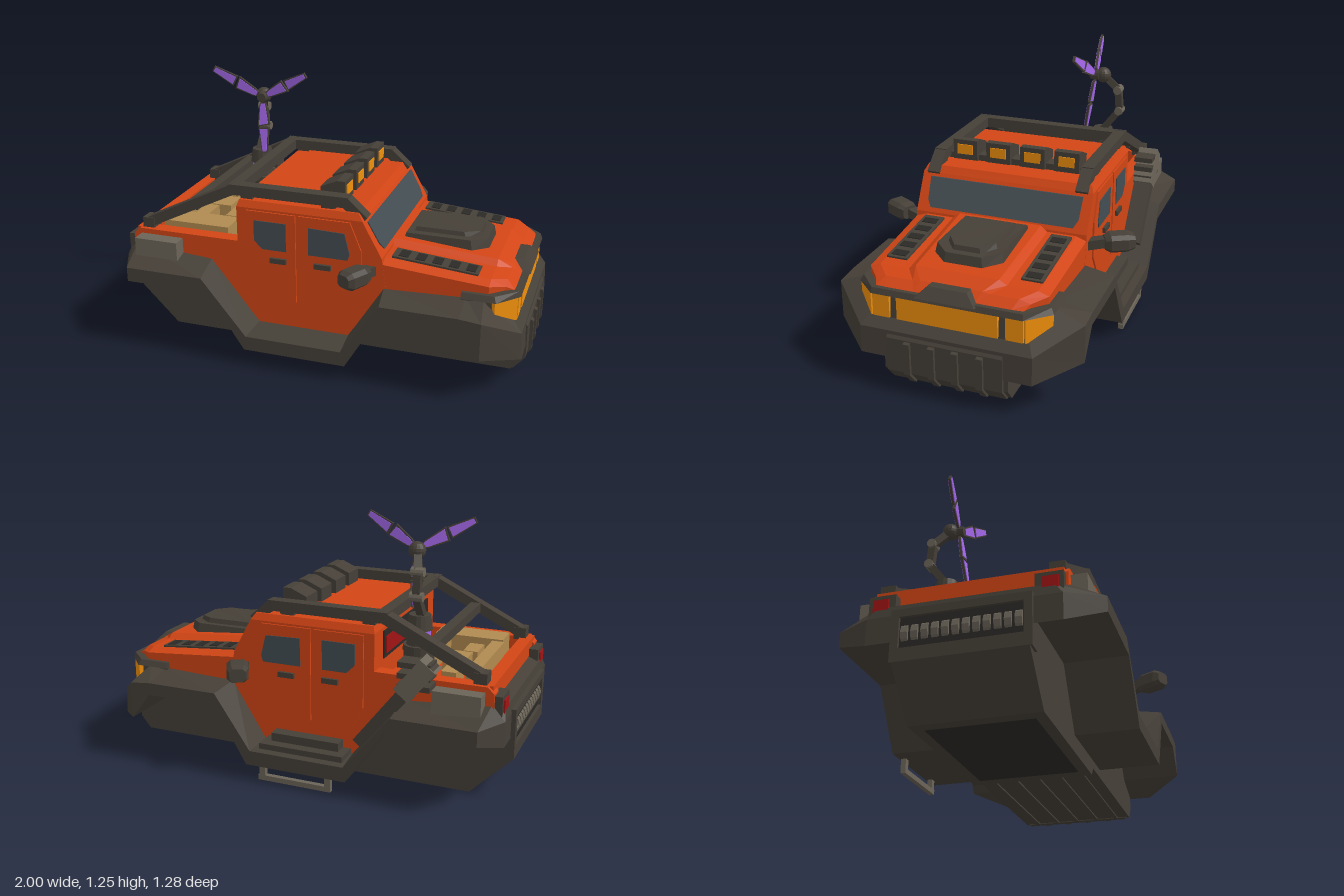
import * as THREE from 'three';

const mat = (color) => new THREE.MeshStandardMaterial({ color, flatShading: true, side: THREE.DoubleSide });
const DARK = mat(0x453f37), BLACK = mat(0x2b2926), ORANGE = mat(0xd24515), LAMP = mat(0xf0900c), GLASS = mat(0x434d52),
  CRATE = mat(0xb08a50), GREY = mat(0x6b6458), PURPLE = mat(0xa468ea), RED = mat(0xa01414);
const V = (x, y, z) => new THREE.Vector3(x, y, z);

export function createModel() {
  const root = new THREE.Group();
  let group = root;
  const part = (name) => { group = new THREE.Group(); group.name = name; root.add(group); };
  const add = (name, geo, m) => {
    const mesh = new THREE.Mesh(geo, m);
    mesh.name = name;
    group.add(mesh);
    return mesh;
  };
  const bothSides = (fn) => [1, -1].forEach(fn);
  // box given by its limits on x, y, z
  const box = (name, m, x0, x1, y0, y1, z0, z1) => {
    const b = add(name, new THREE.BoxGeometry(x1 - x0, y1 - y0, Math.abs(z1 - z0)), m);
    b.position.set((x0 + x1) / 2, (y0 + y1) / 2, (z0 + z1) / 2);
    return b;
  };
  // square bar between two points
  const beam = (name, m, a, b, w, h = w) => {
    const bar = add(name, new THREE.BoxGeometry(w, h, a.distanceTo(b)), m);
    bar.position.copy(a).lerp(b, 0.5);
    bar.lookAt(b);
    return bar;
  };
  // side outline in x, y, extruded from z0 to z1
  const plate = (name, m, pts, z0, z1) => {
    const geo = new THREE.ExtrudeGeometry(new THREE.Shape(pts.map((p) => new THREE.Vector2(...p))),
      { depth: Math.abs(z1 - z0), bevelEnabled: false });
    geo.translate(0, 0, Math.min(z0, z1));
    return add(name, geo, m);
  };
  // closed skin over rings of [x, y, z] points
  const loft = (name, m, rings) => {
    const n = rings[0].length, idx = [], last = (rings.length - 1) * n;
    for (let s = 0; s < rings.length - 1; s++) for (let j = 0; j < n; j++) {
      const a = s * n + j, b = s * n + (j + 1) % n;
      idx.push(a, b, b + n, a, b + n, a + n);
    }
    for (let j = 0; j < n - 2; j++) {
      idx.push(n - 1, j + 1, j);
      idx.push(last + n - 1, last + j, last + j + 1);
    }
    const geo = new THREE.BufferGeometry();
    geo.setAttribute('position', new THREE.Float32BufferAttribute(rings.flat(2), 3));
    geo.setIndex(idx);
    const flat = geo.toNonIndexed();
    flat.computeVertexNormals();
    return add(name, flat, m);
  };
  const rect = (x0, x1, y, z) => [[x0, y, z], [x1, y, z], [x1, y, -z], [x0, y, -z]];

  // lower hull: flares, wheel arches and sills
  part('lowerBody');
  // inner top x, y | outer top x, y | bottom x, y | outer z | inner z
  const stations = [
    [-0.97, 0.47, -0.98, 0.42, -0.98, 0.3, 0.42, 0.38], [-0.92, 0.49, -0.9, 0.42, -0.9, 0.35, 0.58, 0.42],
    [-0.52, 0.46, -0.51, 0.42, -0.48, 0.35, 0.58, 0.42], [-0.28, 0.16, -0.29, 0.15, -0.3, 0.08, 0.58, 0.42],
    [0.17, 0.16, 0.18, 0.15, 0.2, 0.08, 0.58, 0.42], [0.34, 0.43, 0.36, 0.41, 0.36, 0.35, 0.58, 0.42],
    [0.72, 0.44, 0.72, 0.41, 0.72, 0.35, 0.58, 0.42], [0.8, 0.45, 0.82, 0.4, 0.82, 0.22, 0.58, 0.42],
    [0.93, 0.34, 0.975, 0.29, 0.98, 0.16, 0.4, 0.37]];
  loft('hull', DARK, stations.map(([ix, iy, tx, ty, bx, by, zo, zi]) => [
    [ix, iy, -zi], [ix, iy, zi], [tx, ty, zo], [bx, by, zo], [bx, by, -zo], [tx, ty, -zo]]));
  plate('chassis', DARK, [[-1, 0.2], [-0.8, 0], [0.02, 0], [0.05, 0.04], [0.92, 0.04], [0.97, 0.1], [0.97, 0.27],
    [0.92, 0.36], [0.33, 0.38], [0.2, 0.14], [-0.3, 0.14], [-0.45, 0.36], [-0.94, 0.42], [-0.94, 0.25], [-1, 0.25]], -0.29, 0.29);
  box('bellyPanel', BLACK, -0.74, -0.04, -0.001, 0.01, -0.24, 0.24);
  // front guard with ribs
  plate('frontGuard', DARK, [[0.9, 0.035], [0.93, 0.035], [0.985, 0.1], [0.985, 0.26], [0.95, 0.31], [0.9, 0.31]], -0.27, 0.27);
  [-0.17, -0.055, 0.055, 0.17].forEach((z) =>
    plate('guardRib', DARK, [[0.92, 0.035], [0.945, 0.035], [1, 0.1], [1, 0.25], [0.97, 0.26]], z - 0.015, z + 0.015));
  for (let i = -2; i <= 2; i++) box('bellyRib', DARK, 0.08, 0.9, 0.032, 0.04, i * 0.11 - 0.01, i * 0.11 + 0.01);

  // cab and doors
  part('cab');
  plate('cabShell', ORANGE, [[-0.5, 0.42], [-0.28, 0.16], [0.17, 0.16], [0.35, 0.43], [0.33, 0.575], [0.237, 0.745],
    [-0.38, 0.745], [-0.38, 0.5], [-0.5, 0.5]], -0.43, 0.43);
  loft('roof', ORANGE, [rect(-0.38, 0.237, 0.745, 0.43), rect(-0.37, 0.215, 0.777, 0.415)]);
  bothSides((s) => {
    const z = 0.43 * s;
    plate('rearDoor', ORANGE, [[-0.28, 0.29], [-0.085, 0.29], [-0.085, 0.735], [-0.33, 0.735], [-0.33, 0.39]], z, z + 0.008 * s);
    plate('frontDoor', ORANGE, [[-0.07, 0.29], [0.15, 0.29], [0.235, 0.42], [0.235, 0.6], [0.18, 0.735], [-0.07, 0.735]], z, z + 0.008 * s);
    plate('rearDoorWindow', GLASS, [[-0.25, 0.55], [-0.13, 0.55], [-0.13, 0.69], [-0.29, 0.69], [-0.29, 0.59]], z, z + 0.012 * s);
    plate('frontDoorWindow', GLASS, [[-0.02, 0.55], [0.17, 0.55], [0.18, 0.58], [0.155, 0.68], [-0.02, 0.685]], z, z + 0.012 * s);
    [-0.17, 0.05].forEach((x) => box('doorHandle', DARK, x - 0.04, x + 0.04, 0.488, 0.513, z, z + 0.022 * s));
    // wing mirror, swept back towards its tip
    beam('mirrorArm', DARK, V(0.28, 0.51, 0.42 * s), V(0.25, 0.535, 0.54 * s), 0.05, 0.045);
    const face = [[-0.05, -0.025], [-0.03, -0.042], [0.03, -0.042], [0.05, -0.025], [0.05, 0.025], [0.03, 0.042], [-0.03, 0.042], [-0.05, 0.025]];
    const mirror = loft('mirror', DARK, [[-0.07, 0.75], [-0.035, 1], [0.045, 1], [0.07, 0.7]]
      .map(([z, k]) => face.map(([x, y]) => [x * k, y * k, z])));
    mirror.position.set(0.242, 0.53, 0.56 * s);
    mirror.rotation.y = -0.5 * s;
  });
  const screenX = (y, out) => 0.33 - (y - 0.575) * 0.547 + out;
  const screenRing = (out) => [[0.597, 0.36], [0.63, 0.38], [0.728, 0.385], [0.728, -0.385], [0.63, -0.38], [0.597, -0.36]]
    .map(([y, z]) => [screenX(y, out), y, z]).reverse();
  loft('windshield', GLASS, [screenRing(-0.01), screenRing(0.006)]);
  box('rearWindow', BLACK, -0.387, -0.38, 0.6, 0.73, -0.32, 0.32);
  box('rearBrakeLight', RED, -0.392, -0.38, 0.62, 0.7, -0.3, -0.02);

  // hood with a raised centre
  part('hood');
  const hoodY = (x) => 0.565 - (x - 0.32) * 0.09;
  // x, half width, edge y, side y, centre y, centre half width
  loft('hoodShell', ORANGE, [[0.3, 0.43, 0.55, 0.567, 0.59, 0.24], [0.82, 0.42, 0.505, 0.522, 0.545, 0.23],
    [0.885, 0.36, 0.49, 0.505, 0.51, 0.18], [0.925, 0.34, 0.47, 0.472, 0.473, 0.16]].map(([x, w, e, y, c, k]) => [
    [x, e, -w], [x, y, -w + 0.05], [x, y, -k], [x, c, -k + 0.035], [x, c, k - 0.035], [x, y, k], [x, y, w - 0.05], [x, e, w],
    [x, 0.42, w], [x, 0.42, -w]]));
  const scoop = (x0, x1, w, y0, y1) => [[x0, y0, w], [x1 - 0.07, y0, w], [x1, y1, w * 0.55], [x1, y1, -w * 0.55], [x1 - 0.07, y0, -w], [x0, y0, -w]];
  loft('scoop', DARK, [scoop(0.36, 0.76, 0.165, 0.55, 0.545), scoop(0.37, 0.75, 0.155, 0.602, 0.595)]);
  loft('scoopCap', DARK, [scoop(0.4, 0.72, 0.12, 0.59, 0.58), scoop(0.41, 0.71, 0.11, 0.622, 0.618)]);
  bothSides((s) => {
    beam('hoodVent', DARK, V(0.36, hoodY(0.36), 0.32 * s), V(0.76, hoodY(0.76), 0.32 * s), 0.1, 0.02);
    for (let i = 0; i < 5; i++) {
      const x = 0.41 + i * 0.078;
      beam('ventSlot', BLACK, V(x - 0.022, hoodY(x) + 0.008, 0.32 * s), V(x + 0.022, hoodY(x) + 0.004, 0.32 * s), 0.07, 0.014);
    }
  });
  loft('noseTrim', DARK, [rect(0.86, 0.965, 0.465, 0.14), rect(0.865, 0.925, 0.512, 0.09)]);
  // headlamp band wrapping round the corners
  const band = (x, c, z, y) => [[0.7, y, z], [c, y, z], [x, y, 0.35], [x, y, -0.35], [c, y, -z], [0.7, y, -z]];
  loft('lampFrame', DARK, [band(0.94, 0.845, 0.45, 0.3), band(0.925, 0.835, 0.44, 0.45)]);
  loft('lampTrim', DARK, [band(0.955, 0.86, 0.455, 0.446), band(0.945, 0.85, 0.44, 0.472)]);
  box('centreLamp', LAMP, 0.9, 0.946, 0.335, 0.445, -0.235, 0.235);
  bothSides((s) => {
    box('headlamp', LAMP, 0.9, 0.945, 0.335, 0.445, 0.27 * s, 0.35 * s);
    beam('cornerLamp', LAMP, V(0.936, 0.39, 0.352 * s), V(0.848, 0.39, 0.445 * s), 0.02, 0.11);
  });

  // open cargo bed
  part('cargoBed');
  box('bedFloor', ORANGE, -0.9, -0.38, 0.43, 0.5, -0.4, 0.4);
  box('tailgate', ORANGE, -0.92, -0.86, 0.44, 0.57, -0.41, 0.41);
  bothSides((s) => {
    plate('bedSide', ORANGE, [[-0.93, 0.44], [-0.38, 0.42], [-0.38, 0.57], [-0.9, 0.57], [-0.93, 0.54]], 0.36 * s, 0.43 * s);
    box('sideLocker', GREY, -0.89, -0.67, 0.44, 0.545, 0.42 * s, 0.5 * s);
    box('tailLampHousing', DARK, -0.965, -0.9, 0.42, 0.53, 0.3 * s, 0.42 * s);
    box('tailLamp', RED, -0.972, -0.96, 0.45, 0.51, 0.33 * s, 0.4 * s);
  });
  // crates: x0, x1, z0, z1, top
  [[-0.82, -0.76, -0.28, 0.19, 0.585], [-0.73, -0.66, -0.33, -0.2, 0.58], [-0.71, -0.6, -0.11, 0.02, 0.57],
    [-0.56, -0.48, -0.12, 0.17, 0.58], [-0.73, -0.66, 0.03, 0.16, 0.57], [-0.81, -0.47, 0.2, 0.34, 0.59]]
    .forEach(([x0, x1, z0, z1, y]) => box('crate', CRATE, x0, x1, 0.5, y, z0, z1));
  // rear bumper framing a row of rollers
  box('rearBumperSill', DARK, -1, -0.93, 0.2, 0.26, -0.3, 0.3);
  box('rearBumperTop', DARK, -1, -0.93, 0.4, 0.435, -0.3, 0.3);
  bothSides((s) => box('rearBumperPost', DARK, -1, -0.93, 0.2, 0.435, 0.265 * s, 0.3 * s));
  box('rearGrille', BLACK, -0.985, -0.95, 0.26, 0.4, -0.27, 0.27);
  for (let i = 0; i < 12; i++) {
    const rib = add('grilleRoll', new THREE.CylinderGeometry(0.055, 0.055, 0.03, 12), GREY);
    rib.rotation.x = Math.PI / 2;
    rib.position.set(-0.945, 0.33, -0.242 + i * 0.044);
  }

  // roof cage and lamps
  part('rollCage');
  bothSides((s) => {
    const z = 0.375 * s;
    beam('cageRail', DARK, V(-0.43, 0.815, z), V(0.16, 0.815, z), 0.06, 0.05);
    beam('cageFront', DARK, V(0.14, 0.82, z), V(0.235, 0.735, z), 0.06, 0.05);
    beam('cageRear', DARK, V(-0.4, 0.82, z), V(-0.87, 0.59, z), 0.06, 0.05);
    box('cageFoot', DARK, -0.89, -0.83, 0.56, 0.62, 0.34 * s, 0.41 * s);
    [-0.34, 0.06].forEach((x) => box('railMount', DARK, x - 0.03, x + 0.03, 0.77, 0.8, 0.36 * s, 0.4 * s));
  });
  box('cageCrossbar', DARK, -0.43, -0.375, 0.79, 0.84, -0.38, 0.38);
  box('bedCrossbar', DARK, -0.655, -0.605, 0.68, 0.725, -0.38, 0.38);
  box('lampBar', DARK, 0.03, 0.1, 0.78, 0.81, -0.4, 0.4);
  [-0.26, -0.088, 0.088, 0.26].forEach((z) => {
    plate('roofLampHousing', DARK, [[0, 0.785], [0.12, 0.785], [0.12, 0.885], [0.08, 0.885], [0, 0.85]], z - 0.062, z + 0.062);
    box('roofLamp', LAMP, 0.11, 0.125, 0.813, 0.862, z - 0.04, z + 0.04);
  });

  // boarding step and slanted rack on the right flank
  part('sideGear');
  [-0.21, 0.12].forEach((x) => box('stepHanger', GREY, x - 0.015, x + 0.015, 0.01, 0.1, -0.57, -0.545));
  box('stepTread', GREY, -0.225, 0.14, 0.01, 0.035, -0.57, -0.545);
  [0.18, 0.22].forEach((y, i) => box('sillStep', DARK, -0.27 + i * 0.04, 0.15 - i * 0.04, 0.15, y, -0.43, -0.54 + i * 0.05));
  beam('rackBody', DARK, V(-0.34, 0.25, -0.48), V(-0.66, 0.66, -0.48), 0.09, 0.06);
  beam('rackSleeve', GREY, V(-0.54, 0.51, -0.48), V(-0.66, 0.66, -0.48), 0.1, 0.09);
  [0.54, 0.59, 0.64].forEach((y) => box('rackFin', DARK, -0.67, -0.52, y, y + 0.025, -0.525, -0.43));

  // turbine on a jointed mast
  part('turbine');
  const drum = (name, m, r0, r1, y0, y1) => {
    add(name, new THREE.CylinderGeometry(r1, r0, y1 - y0, 16), m).position.set(-0.53, (y0 + y1) / 2, -0.25);
  };
  drum('mastFoot', DARK, 0.07, 0.07, 0.5, 0.64);
  drum('mastDisc', DARK, 0.075, 0.075, 0.64, 0.67);
  drum('mastCollar', DARK, 0.06, 0.055, 0.67, 0.71);
  drum('mastBand', PURPLE, 0.052, 0.052, 0.71, 0.74);
  drum('mastCap', DARK, 0.06, 0.05, 0.74, 0.81);
  const joints = [V(-0.54, 0.8, -0.25), V(-0.54, 0.91, -0.335), V(-0.54, 1.02, -0.325), V(-0.51, 1.1, -0.25)];
  joints.slice(1).forEach((p, i) => {
    beam('mastArm', DARK, joints[i], p, 0.035);
    const pin = add('mastJoint', new THREE.CylinderGeometry(0.022, 0.022, 0.06, 10), GREY);
    pin.rotation.z = Math.PI / 2;
    pin.position.copy(p);
  });
  add('hub', new THREE.SphereGeometry(0.04, 14, 10), DARK).position.copy(joints[3]);
  const nose = add('hubNose', new THREE.CylinderGeometry(0.024, 0.03, 0.05, 12), DARK);
  nose.rotation.x = Math.PI / 2;
  nose.position.set(-0.5, 1.1, -0.21);
  // blades of two tapering panels, leaning forward at the tips
  const panels = [[[0.03, -0.014], [0.05, -0.02], [0.155, -0.034], [0.145, 0.034], [0.05, 0.02], [0.03, 0.014]],
    [[0.16, -0.03], [0.29, -0.015], [0.29, 0.015], [0.16, 0.028]]];
  [151, 29, 274].forEach((deg) => panels.forEach((pts) => {
    const c = pts.reduce((sum, p) => sum + p[0] / pts.length, 0);
    const inset = pts.map(([x, y]) => [c + (x - c) * 0.9, y * 0.75]);
    [plate('bladeEdge', DARK, pts, -0.006, 0.006), plate('blade', PURPLE, inset, -0.009, 0.009)].forEach((mesh) => {
      mesh.rotation.set(0, -0.14, deg * Math.PI / 180, 'ZYX');
      mesh.position.set(-0.5, 1.1, -0.21);
    });
  }));
  return root;
}
